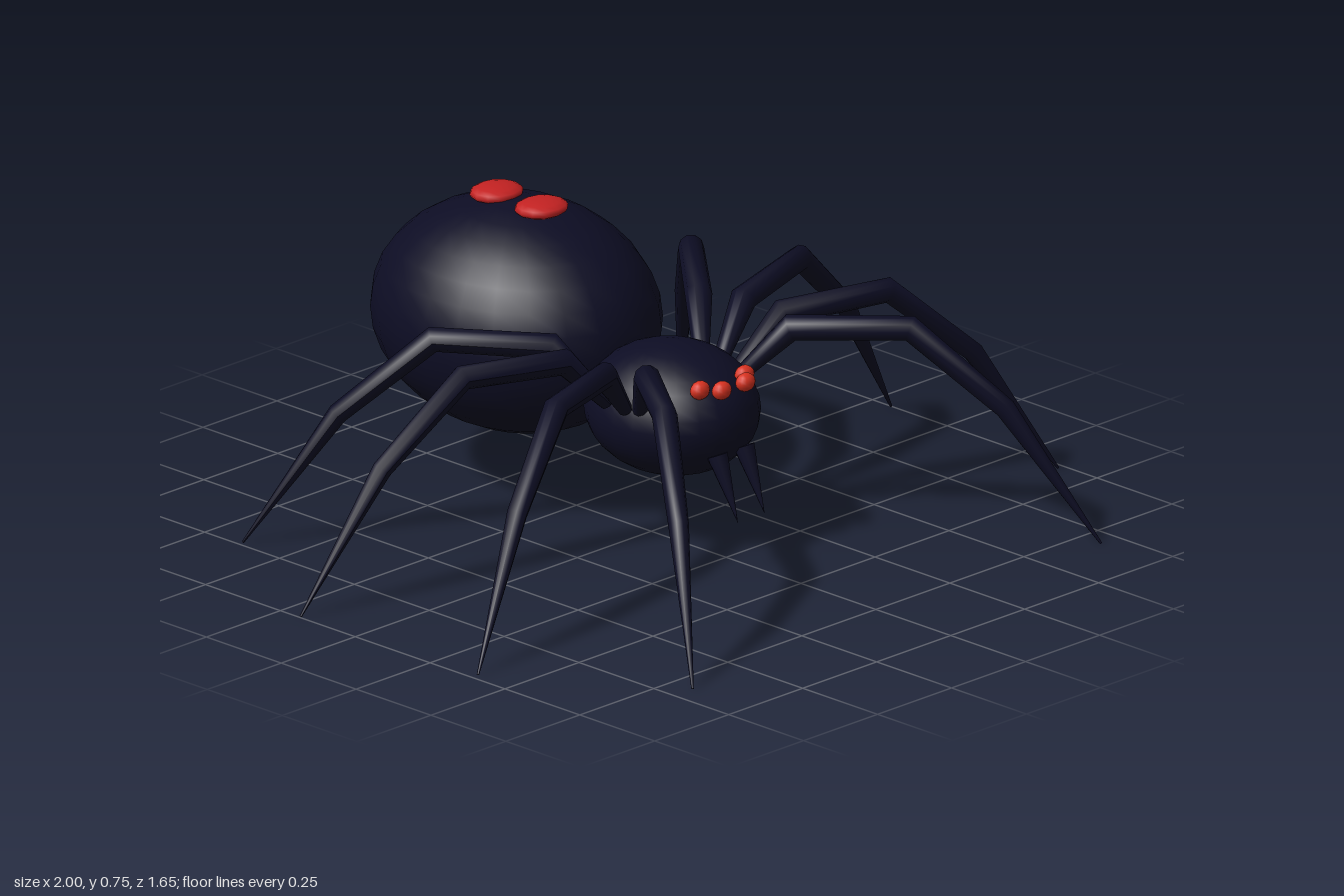
import * as THREE from 'three';

const bodyMat = new THREE.MeshStandardMaterial({ name: 'dark navy', color: 0x0d0d24 });
const markMat = new THREE.MeshStandardMaterial({ name: 'mark red', color: 0xc42222 });
const eyeMat = new THREE.MeshStandardMaterial({ name: 'eye red', color: 0xd83220 });

function ellipsoid(name, mat, pos, radii, w = 24, h = 16) {
  const mesh = new THREE.Mesh(new THREE.SphereGeometry(1, w, h), mat);
  mesh.name = name;
  mesh.position.set(...pos);
  mesh.scale.set(...radii);
  return mesh;
}

// Tapered limb swept through [distance, height, radius] stations in the local xy plane
function limbGeometry(stations) {
  const last = stations.length - 1;
  const geo = new THREE.CylinderGeometry(1, 1, last, 10, last);
  const centres = stations.map(([d, y]) => new THREE.Vector2(d, y));
  const pos = geo.attributes.position;
  for (let i = 0; i < pos.count; i++) {
    const k = Math.round(last / 2 - pos.getY(i));
    const dirIn = centres[k].clone().sub(centres[Math.max(k - 1, 0)]).normalize();
    const dirOut = centres[Math.min(k + 1, last)].clone().sub(centres[k]).normalize();
    const along = dirIn.add(dirOut).normalize();
    const r = stations[k][2];
    const a = pos.getX(i) * r, b = pos.getZ(i) * r;
    pos.setXYZ(i, centres[k].x - along.y * a, centres[k].y + along.x * a, -b);
  }
  // the sweep runs from the cylinder's top cap, so reverse the winding
  const idx = geo.index.array;
  for (let i = 0; i < idx.length; i += 3) [idx[i], idx[i + 1]] = [idx[i + 1], idx[i]];
  // keep the faces outward whichever way the frame turned
  const v = [0, 1, 2].map(j => new THREE.Vector3().fromBufferAttribute(pos, idx[j]));
  const n = v[1].clone().sub(v[0]).cross(v[2].clone().sub(v[0]));
  const mid = centres[0].clone().add(centres[1]).multiplyScalar(0.5);
  if (n.dot(v[0].clone().add(v[1]).add(v[2]).divideScalar(3).sub(new THREE.Vector3(mid.x, mid.y, 0))) < 0) {
    for (let i = 0; i < idx.length; i += 3) [idx[i], idx[i + 1]] = [idx[i + 1], idx[i]];
  }
  geo.computeVertexNormals();
  return geo;
}

// Leg stations: fraction of reach, height, radius
const legProfile = [
  [0, 0.39, 0.018], [0.14, 0.515, 0.033], [0.47, 0.527, 0.031], [0.735, 0.335, 0.025], [1, 0.004, 0.003],
];

// Base and tip of each left leg: [base x, base z, tip x, tip z]
const legs = {
  frontLeg: [0.17, 0.13, 0.69, 0.82],
  midFrontLeg: [0.19, 0.1, 0.98, 0.39],
  midRearLeg: [0.19, 0.04, 0.997, -0.185],
  rearLeg: [0.17, 0.0, 0.737, -0.635],
};

export function createModel() {
  const model = new THREE.Group();
  model.name = 'spider';

  // Body
  model.add(
    ellipsoid('abdomen', bodyMat, [0, 0.443, -0.45], [0.315, 0.283, 0.38]),
    ellipsoid('headThorax', bodyMat, [0, 0.34, 0.07], [0.2, 0.16, 0.222]),
  );

  // Red marks on top of the abdomen
  for (const z of [-0.367, -0.517]) {
    model.add(ellipsoid('abdomenMark', markMat, [0, 0.728, z], [0.07, 0.021, 0.06], 12, 8));
  }

  for (const side of [1, -1]) {
    const prefix = side > 0 ? 'left ' : 'right ';

    // Eyes
    for (const [x, z] of [[0.075, 0.237], [0.04, 0.275]]) {
      model.add(ellipsoid(prefix + 'eye', eyeMat, [side * x, 0.443, z], [0.027, 0.023, 0.021], 12, 8));
    }

    // Fangs
    const fang = new THREE.Mesh(new THREE.ConeGeometry(0.026, 0.17, 10), bodyMat);
    fang.name = prefix + 'fang';
    fang.position.set(side * 0.045, 0.2, 0.3);
    fang.rotation.x = Math.PI - 0.42;
    model.add(fang);

    // Legs
    for (const [name, [bx, bz, tx, tz]] of Object.entries(legs)) {
      const reach = Math.hypot(tx - bx, tz - bz);
      const geo = limbGeometry(legProfile.map(([t, y, r]) => [t * reach, y, r]));
      const leg = new THREE.Mesh(geo, bodyMat);
      leg.name = prefix + name;
      leg.position.set(side * bx, 0, bz);
      leg.rotation.y = Math.atan2(-(tz - bz), side * (tx - bx));
      model.add(leg);
    }
  }
  return model;
}
